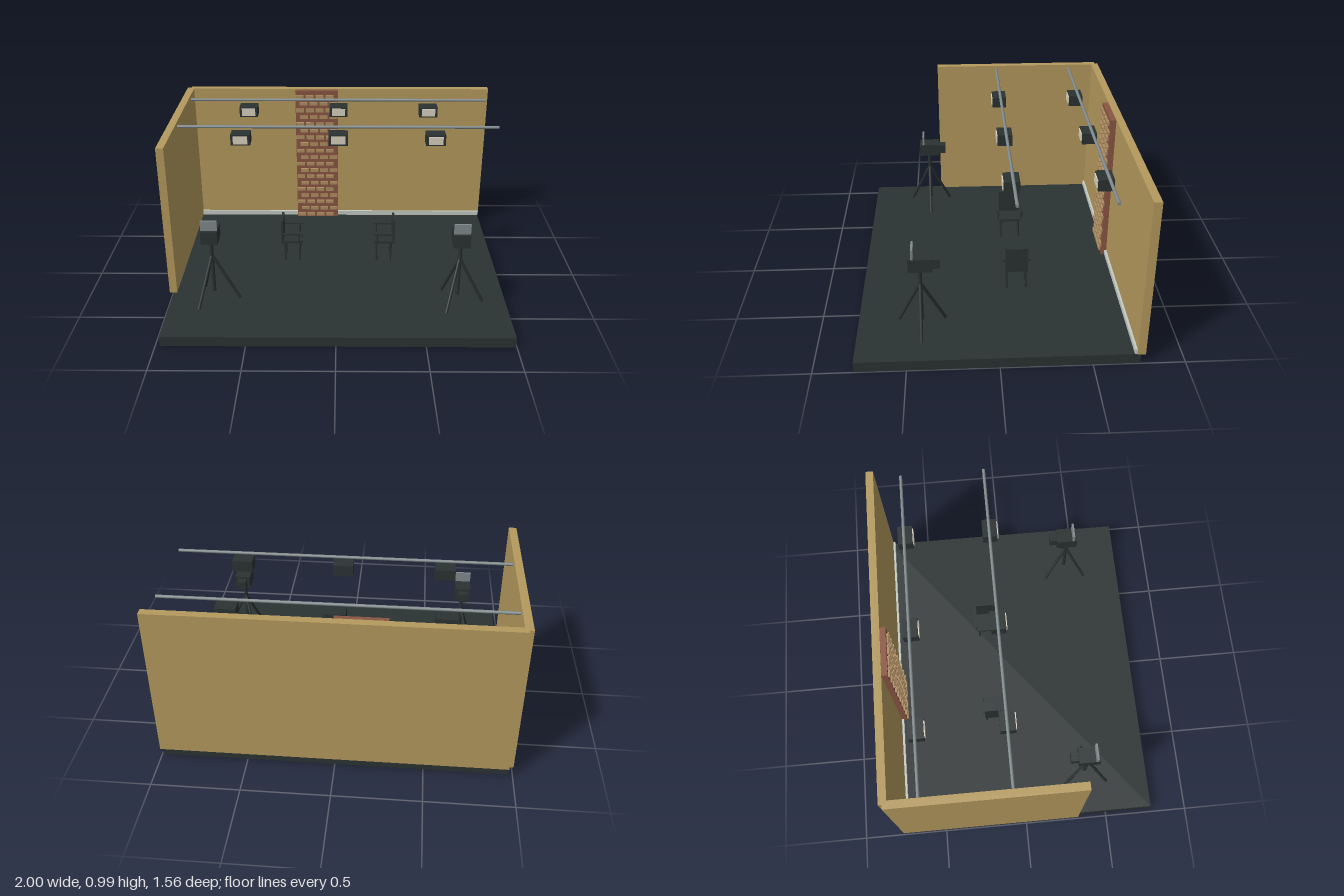
import * as THREE from 'three';
import { mergeGeometries } from 'three/addons/utils/BufferGeometryUtils.js';

const mat = (color) => new THREE.MeshStandardMaterial({ color });

export function createModel() {
  const root = new THREE.Group();
  root.name = 'studioSet';
  const dark = mat(0x2b3232), wall = mat(0xb59a5e), pale = mat(0xc4cac4), steel = mat(0x808a8c);
  const brickRed = mat(0x8a5644), brickTan = mat(0xb08f62), cream = mat(0xd9d2c0);

  // Box given by its min and max corners
  const box = (parent, name, m, x0, x1, y0, y1, z0, z1) => {
    const mesh = new THREE.Mesh(new THREE.BoxGeometry(x1 - x0, y1 - y0, z1 - z0), m);
    mesh.position.set((x0 + x1) / 2, (y0 + y1) / 2, (z0 + z1) / 2);
    mesh.name = name;
    parent.add(mesh);
    return mesh;
  };
  // Round bar between two points
  const bar = (parent, name, m, a, b, r) => {
    const p = new THREE.Vector3(...a), q = new THREE.Vector3(...b);
    const mesh = new THREE.Mesh(new THREE.CylinderGeometry(r, r, p.distanceTo(q), 12), m);
    mesh.position.copy(p).add(q).multiplyScalar(0.5);
    mesh.quaternion.setFromUnitVectors(new THREE.Vector3(0, 1, 0), q.sub(p).normalize());
    mesh.name = name;
    parent.add(mesh);
  };
  const group = (name, x, y, z) => {
    const g = new THREE.Group();
    g.name = name;
    g.position.set(x, y, z);
    root.add(g);
    return g;
  };

  // Stage and walls
  box(root, 'floor', dark, -0.975, 0.995, 0, 0.06, -0.755, 0.78);
  box(root, 'backWall', wall, -0.975, 1, 0.06, 0.99, -0.78, -0.735);
  box(root, 'sideWall', wall, -1, -0.955, 0.06, 0.99, -0.76, 0.32);
  box(root, 'baseboard', pale, -0.955, 0.995, 0.06, 0.09, -0.737, -0.722);

  // Brick column with staggered courses
  box(root, 'brickColumn', brickRed, -0.28, 0.003, 0.06, 0.985, -0.745, -0.702);
  const bricks = [];
  for (let row = 0; row < 19; row++) {
    const shift = row % 2 ? 0.016 : -0.01;
    for (let i = 0; i < 4; i++) {
      const b = new THREE.BoxGeometry(0.053, 0.022, 0.012);
      b.translate(-0.241 + i * 0.066 + shift, 0.081 + row * 0.0482, -0.697);
      bricks.push(b);
    }
  }
  const brickMesh = new THREE.Mesh(mergeGeometries(bricks), brickTan);
  brickMesh.name = 'bricks';
  root.add(brickMesh);

  // Overhead rails with three lamps each
  for (const z of [-0.575, -0.08]) {
    bar(root, 'lightRail', steel, [-0.95, 0.968, z], [0.965, 0.968, z], 0.009);
    for (const x of [-0.575, 0.008, 0.59]) {
      const lamp = group('studioLamp', x, 0.9, z);
      box(lamp, 'lampHousing', dark, -0.058, 0.058, -0.034, 0.032, -0.04, 0.046);
      box(lamp, 'lampPanel', cream, -0.043, 0.043, -0.024, 0.024, 0.04, 0.052);
    }
  }

  // Chairs facing each other; built facing +x
  for (const [x, turn] of [[-0.285, 0], [0.3, Math.PI]]) {
    const chair = group('chair', x, 0.06, -0.133);
    chair.rotation.y = turn;
    box(chair, 'seat', dark, -0.06, 0.065, 0.125, 0.142, -0.065, 0.065);
    box(chair, 'backrest', dark, -0.066, -0.052, 0.125, 0.282, -0.066, 0.066);
    for (const s of [-1, 1]) {
      bar(chair, 'rearLeg', dark, [-0.042, 0, s * 0.057], [-0.046, 0.13, s * 0.057], 0.005);
      bar(chair, 'frontLeg', dark, [0.045, 0, s * 0.057], [0.05, 0.13, s * 0.057], 0.005);
      box(chair, 'armrest', dark, -0.056, 0.065, 0.192, 0.202, s * 0.078 - 0.008, s * 0.078 + 0.008);
      bar(chair, 'armPost', dark, [0.045, 0.135, s * 0.074], [0.045, 0.195, s * 0.074], 0.005);
      bar(chair, 'armBracket', dark, [0.045, 0.135, s * 0.055], [0.045, 0.135, s * 0.076], 0.005);
    }
  }

  // Studio cameras on tripods, lenses towards the back wall
  for (const [x, z] of [[-0.718, 0.39], [0.706, 0.42]]) {
    const cam = group('studioCamera', x, 0, z);
    box(cam, 'cameraBody', dark, -0.047, 0.047, 0.457, 0.536, -0.067, 0.06);
    box(cam, 'lensHood', dark, -0.028, 0.028, 0.467, 0.522, -0.112, -0.067);
    box(cam, 'prompterScreen', steel, -0.047, 0.047, 0.536, 0.597, 0.031, 0.043);
    bar(cam, 'tripodColumn', dark, [0, 0.12, 0], [0, 0.457, 0], 0.0115);
    for (let i = 0; i < 3; i++) {
      const a = i * Math.PI * 2 / 3;
      bar(cam, 'tripodLeg', dark, [0, 0.36, 0],
        [Math.cos(a) * 0.15, 0.071, Math.sin(a) * 0.15], 0.009);
    }
  }
  return root;
}
